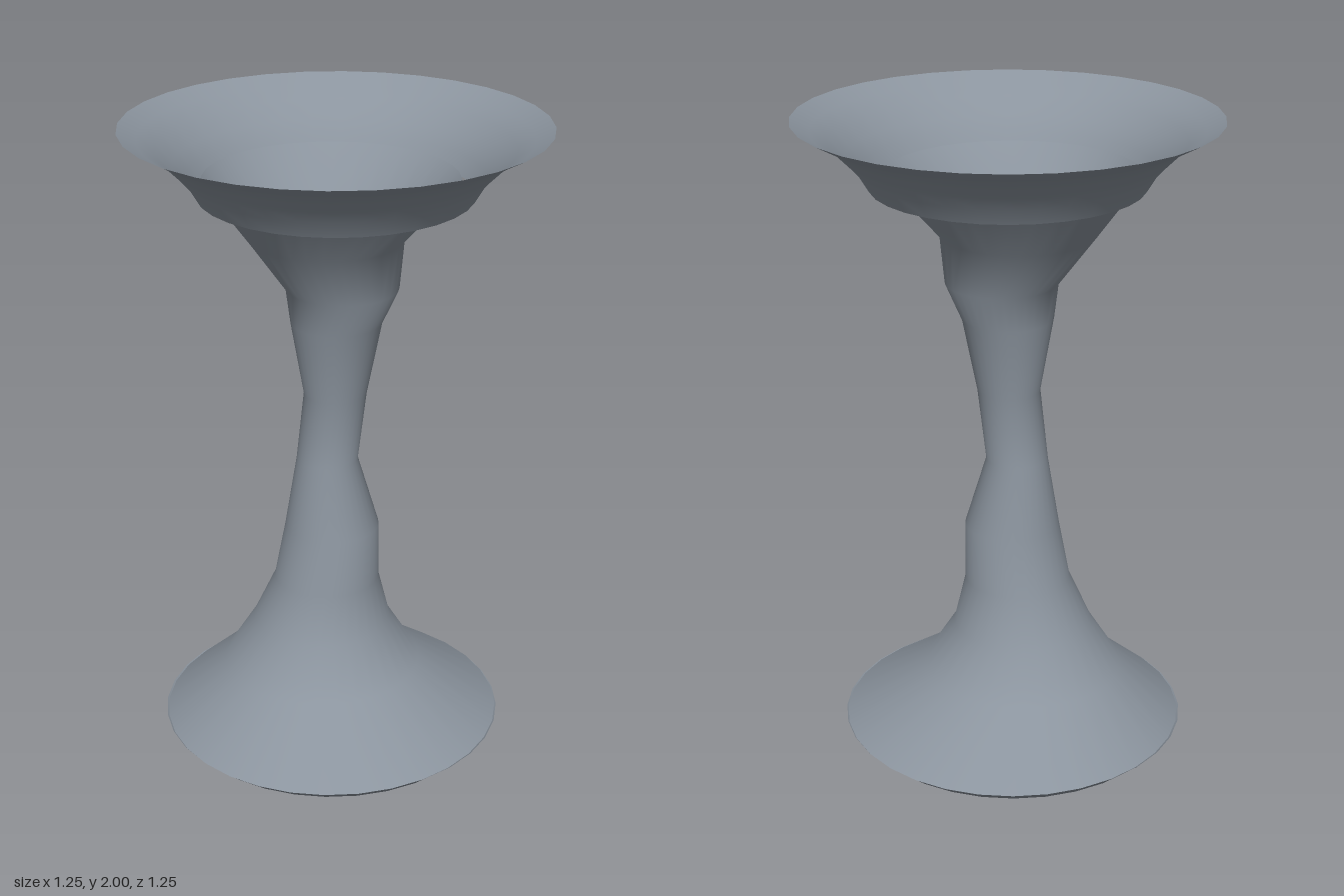
import * as THREE from 'three';

const SIDES = 32;

// Surface lofted through elliptical rings given as [y, xMin, xMax, zMin, zMax], bottom to top.
function loft(rings) {
  const pos = [], idx = [];
  rings.forEach(([y, x0, x1, z0, z1], r) => {
    for (let i = 0; i < SIDES; i++) {
      const a = (i / SIDES) * Math.PI * 2;
      pos.push(
        (x0 + x1) / 2 + Math.sin(a) * (x1 - x0) / 2,
        y,
        (z0 + z1) / 2 + Math.cos(a) * (z1 - z0) / 2
      );
      if (r === 0) continue;
      const j = (i + 1) % SIDES, lo = (r - 1) * SIDES, hi = r * SIDES;
      idx.push(lo + i, lo + j, hi + j, lo + i, hi + j, hi + i);
    }
  });
  const g = new THREE.BufferGeometry();
  g.setAttribute('position', new THREE.Float32BufferAttribute(pos, 3));
  g.setIndex(idx);
  g.computeVertexNormals();
  return g;
}

// Round ring surface from [radius, y] pairs, bottom to top.
const ring = (profile) =>
  new THREE.LatheGeometry(profile.map(([r, y]) => new THREE.Vector2(r, y)), SIDES);

export function createModel() {
  const group = new THREE.Group();
  const grey = new THREE.MeshStandardMaterial({ color: 0x8b949e, side: THREE.DoubleSide });
  grey.name = 'blueGrey';

  const add = (name, geometry, x = 0, z = 0) => {
    const mesh = new THREE.Mesh(geometry, grey);
    mesh.name = name;
    mesh.position.set(x, 0, z);
    group.add(mesh);
  };

  // Flared open collar around the mouth
  add('collar', ring([[0.405, 1.8], [0.435, 1.85], [0.47, 1.89], [0.52, 1.94], [0.57, 1.97], [0.625, 2]]));

  // Hollow, slightly irregular stem that widens at both ends
  add('stem', loft([
    [0.08, -0.545, 0.51, -0.55, 0.525],
    [0.25, -0.36, 0.26, -0.32, 0.295],
    [0.40, -0.265, 0.165, -0.23, 0.2],
    [0.55, -0.195, 0.13, -0.175, 0.155],
    [0.73, -0.16, 0.13, -0.155, 0.135],
    [0.95, -0.125, 0.063, -0.107, 0.08],
    [1.17, -0.1, 0.09, -0.107, 0.085],
    [1.40, -0.14, 0.135, -0.155, 0.125],
    [1.51, -0.153, 0.185, -0.18, 0.155],
    [1.66, -0.265, 0.198, -0.24, 0.215],
    [1.84, -0.395, 0.36, -0.39, 0.36],
  ]));

  // Foot: rounded underside and a short wall inside the opening
  add('footRim', ring([[0.41, 0], [0.488, 0.04], [0.533, 0.08]]), -0.018, -0.012);
  add('footInnerWall', ring([[0.41, 0], [0.41, 0.13]]), -0.018, -0.012);

  return group;
}
